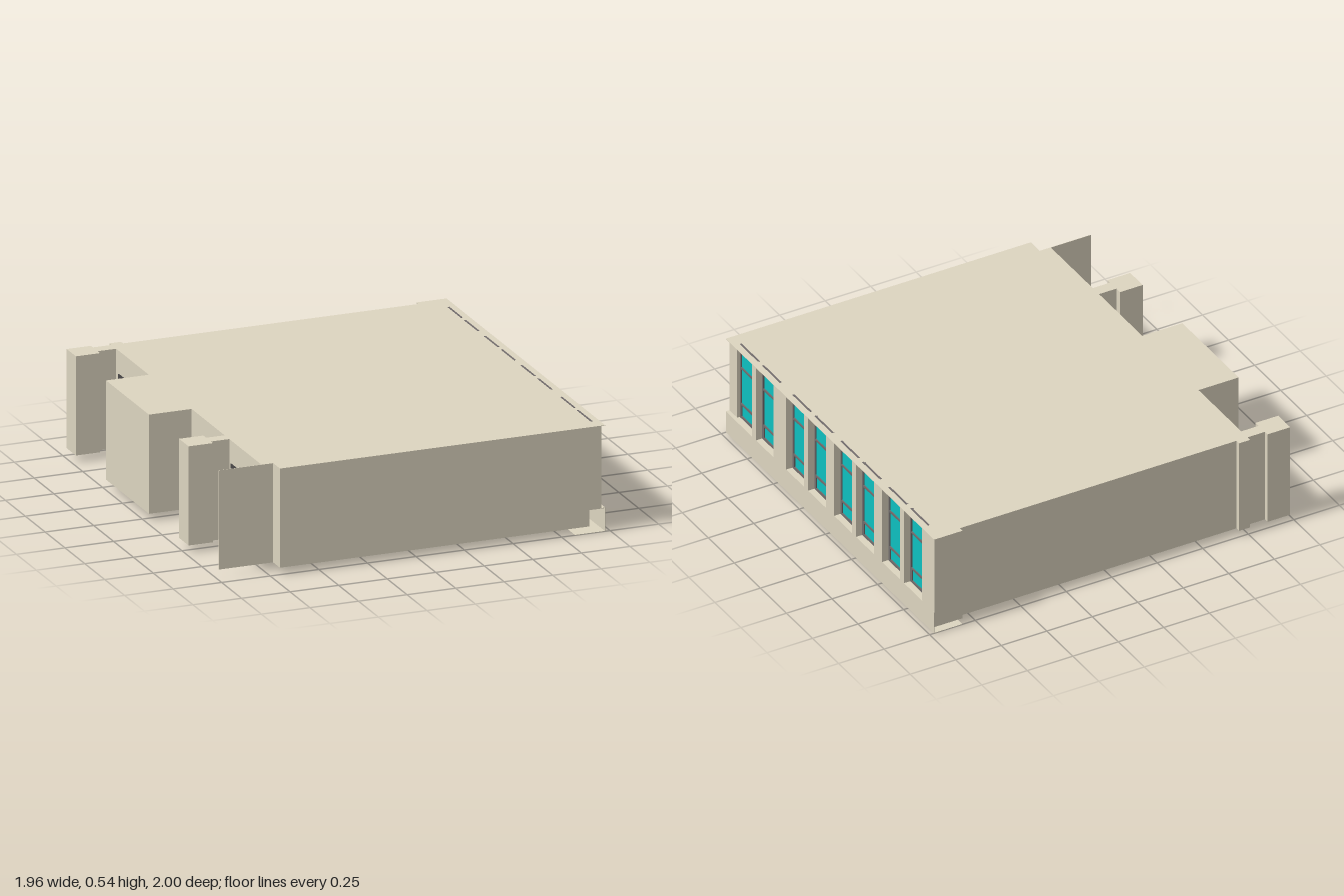
import * as THREE from 'three';

export function createModel() {
  const model = new THREE.Group();
  const material = (color) => new THREE.MeshStandardMaterial({ color, flatShading: true, side: THREE.DoubleSide });
  const wall = material(0xddd5c0);
  const glass = material(0x0ec0c0);
  const frame = material(0x716c6c);
  const brown = material(0x5a3c28);
  const dark = material(0x4a4848);

  const BASE = 0.035, SILL = 0.12, TOP = 0.535;

  // Box from its min and max on each axis
  function box(name, mat, [x0, x1], [y0, y1], [z0, z1], parent = model) {
    const mesh = new THREE.Mesh(new THREE.BoxGeometry(x1 - x0, y1 - y0, z1 - z0), mat);
    mesh.position.set((x0 + x1) / 2, (y0 + y1) / 2, (z0 + z1) / 2);
    mesh.name = name;
    parent.add(mesh);
    return mesh;
  }

  // Storey block: plan outline extruded upwards, ending at xRight on the window side
  function block(name, xRight, y0, y1) {
    const outline = [
      [-0.76, -1], [-0.7, -1], [-0.7, -0.975], [xRight, -0.975], [xRight, 1], [-0.7, 1],
      [-0.7, 0.915], [-0.76, 0.915], [-0.76, 0.035], [-0.98, 0.035], [-0.98, -0.505], [-0.76, -0.505],
    ];
    const shape = new THREE.Shape(outline.map(([x, z]) => new THREE.Vector2(x, -z)));
    const geometry = new THREE.ExtrudeGeometry(shape, { depth: y1 - y0, bevelEnabled: false });
    geometry.rotateX(-Math.PI / 2);
    const mesh = new THREE.Mesh(geometry, wall);
    mesh.position.y = y0;
    mesh.name = name;
    model.add(mesh);
  }
  block('lowerBody', 0.895, BASE, SILL);
  block('upperBody', 0.925, SILL, TOP);

  // Roof edge over the window recesses
  box('roofEdge', wall, [0.925, 0.975], [TOP - 0.002, TOP], [-1, 1]);

  // Hollow sill channel along the window side
  box('sillFace', wall, [0.973, 0.975], [0, SILL], [-1, 1]);
  box('sillLedge', wall, [0.895, 0.975], [SILL - 0.003, SILL], [-1, 1]);
  box('sillBase', wall, [0.82, 0.975], [0, 0.002], [-1, 1]);

  // Windows, listed by the front and back edge of each
  const windows = [
    [0.925, 0.75], [0.71, 0.54], [0.42, 0.25], [0.21, 0.04],
    [-0.04, -0.21], [-0.25, -0.42], [-0.5, -0.67], [-0.71, -0.88],
  ];
  for (const [front, back] of windows) {
    const unit = new THREE.Group();
    unit.name = 'window';
    model.add(unit);
    const fx = [0.926, 0.941];
    box('glassPane', glass, [0.925, 0.935], [SILL, TOP - 0.002], [back, front], unit);
    box('frameSide', frame, fx, [SILL, TOP], [front - 0.01, front], unit);
    box('frameSide', frame, fx, [SILL, TOP], [back, back + 0.01], unit);
    box('frameTop', frame, [0.931, 0.941], [TOP - 0.008, TOP + 0.001], [back, front], unit);
    for (const [y, h] of [[SILL, 0.013], [0.195, 0.01], [0.4, 0.01]])
      box('frameBar', frame, fx, [y, y + h], [back, front], unit);
    // Extra surround of the low pane
    for (const z of [front - 0.017, back + 0.01])
      box('lowPaneSide', frame, fx, [SILL, 0.2], [z, z + 0.007], unit);
  }

  // Piers between the windows; the front one is set back, the back one reaches lower
  box('frontPier', wall, [0.925, 0.955], [SILL, TOP], [0.925, 1]);
  for (let i = 0; i < windows.length - 1; i++)
    box('pier', wall, [0.925, 0.975], [SILL, TOP], [windows[i + 1][0], windows[i][1]]);
  box('backPier', wall, [0.82, 0.9745], [BASE, TOP], [-1, -0.88]);

  // Columns on the opposite side, each joined to the wall by a short neck
  for (const [z0, z1, n0, n1] of [[-1, -0.885, -0.975, -0.915], [0.415, 0.535, 0.45, 0.51]]) {
    box('column', wall, [-0.98, -0.855], [BASE, TOP], [z0, z1]);
    box('columnNeck', wall, [-0.855, -0.76], [BASE, TOP], [n0, n1]);
  }
  box('wingPanel', wall, [-0.98, -0.7], [BASE, TOP], [0.913, 0.915]);

  // Doors beside the columns
  for (const z of [-0.88, 0.535]) {
    box('door', dark, [-0.764, -0.758], [BASE, 0.42], [z, z + 0.17]);
    box('doorHandle', dark, [-0.772, -0.764], [0.2, 0.23], [z + 0.145, z + 0.155]);
    box('doorThreshold', dark, [-0.764, -0.7], [BASE - 0.003, BASE], [z, z + 0.17]);
  }

  // Floor inlays seen on the underside
  box('floorPlatform', brown, [-0.7, -0.45], [BASE - 0.003, BASE], [-0.68, 0.48]);
  box('floorPlate', dark, [-0.48, -0.37], [BASE - 0.005, BASE], [-0.19, -0.06]);

  return model;
}
